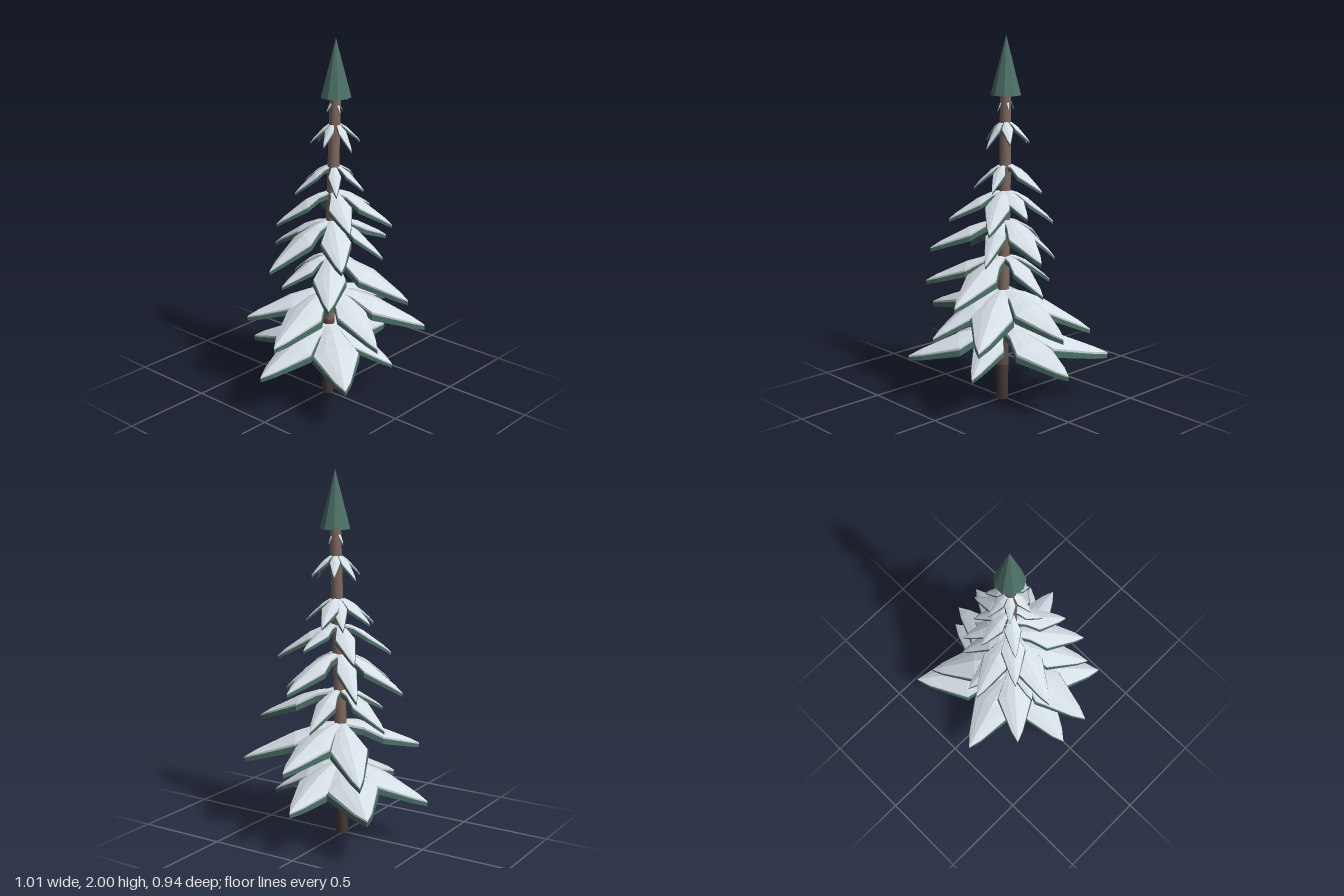
import * as THREE from 'three';

function paint(name, color) {
  const material = new THREE.MeshStandardMaterial({ color });
  material.name = name;
  return material;
}
const snow = paint('snow white', 0xd5dde5);
const green = paint('needle green', 0x4c7067);
const bark = paint('bark brown', 0x7e685f);
const shadedBark = paint('shaded bark brown', 0x5e4e48);
const darkBark = paint('dark bark brown', 0x473b38);

// Leaning trunk centre line
const trunkTop = 1.72;
const trunkPath = new THREE.CatmullRomCurve3([
  new THREE.Vector3(0, 0, 0.01), new THREE.Vector3(0.006, 0.43, 0.011),
  new THREE.Vector3(0.018, 0.86, 0.015), new THREE.Vector3(0.032, 1.29, 0.019),
  new THREE.Vector3(0.042, trunkTop, 0.025),
]);
const trunkAt = (y) => trunkPath.getPoint(y / trunkTop);

// Bough stations: distance along, half width, drop, sideways sag
const stations = [
  [0, 0.05, 0, 0.3], [0.25, 0.125, 0.1, 0.3], [0.47, 0.24, 0.28, 0.36],
  [0.87, 0.08, 0.79, 0.4], [1, 0, 1, 0],
];

// Pointed, ridged slab running along +z, between two depths below the ridge
function boughShell(length, drop, width, top, bottom) {
  const across = [-1, -0.5, 0, 0.5, 1];
  const rings = stations.map(([t, w, d, sag]) => {
    const half = w * length * width;
    const thin = 1 - 0.45 * t;
    const row = (depth) => across.map((k) => new THREE.Vector3(
      k * half, -d * drop - half * sag * Math.abs(k) ** 1.4 - depth * thin, t * length));
    return [...row(top), ...row(bottom).reverse()];
  });
  const pts = [];
  for (let i = 0; i < rings.length - 1; i++) {
    const p = rings[i], q = rings[i + 1];
    for (let j = 0; j < p.length; j++) {
      const n = (j + 1) % p.length;
      pts.push(p[j], q[j], p[n], p[n], q[j], q[n]);
    }
  }
  const geo = new THREE.BufferGeometry().setFromPoints(pts);
  geo.computeVertexNormals();
  return geo;
}

// One bough: green needles under a layer of snow, ending at the given tip
function makeBough(y, width, [tx, tz, ty]) {
  const root = trunkAt(y);
  const dx = tx - root.x, dz = tz - root.z;
  const length = Math.hypot(dx, dz), drop = y - ty;
  const thick = 0.009 + 0.09 * length;
  const bough = new THREE.Group();
  bough.name = 'bough';
  const needles = new THREE.Mesh(
    boughShell(length, drop, width * 1.06, thick * 0.28, thick), green);
  needles.name = 'needles';
  const cover = new THREE.Mesh(boughShell(length, drop, width, 0, thick * 0.38), snow);
  cover.name = 'snowCover';
  bough.add(needles, cover);
  bough.position.set(root.x, y, root.z);
  bough.rotation.y = Math.atan2(dx, dz);
  return bough;
}

// Tiers: height of the roots, relative width, then bough tips as x, z, y
const tiers = [
  [0.43, 0.98, [[0.505, 0.01, 0.26], [0.41, -0.4, 0.27], [-0.105, -0.47, 0.235],
    [-0.475, -0.05, 0.24], [-0.32, 0.415, 0.26], [0.14, 0.36, 0.23]]],
  [0.64, 0.87, [[0.505, 0.05, 0.47], [0.3, 0.455, 0.44], [-0.085, 0.435, 0.42],
    [-0.505, 0.085, 0.465], [-0.33, -0.29, 0.48], [0.35, -0.32, 0.41]]],
  [0.83, 0.83, [[0.315, 0.01, 0.65], [0.13, 0.465, 0.64], [-0.31, 0.29, 0.67],
    [-0.25, -0.1, 0.68], [0.06, -0.295, 0.64]]],
  [1.03, 0.82, [[0.39, 0.1, 0.86], [0.15, 0.27, 0.83], [-0.24, 0.315, 0.87],
    [-0.36, -0.08, 0.81], [-0.055, -0.335, 0.83], [0.19, -0.2, 0.81]]],
  [1.19, 0.85, [[0.265, 0.08, 1.07], [0.2, 0.29, 1.01], [-0.13, 0.275, 1.04],
    [-0.2, -0.18, 1.01], [0.19, -0.185, 1.01]]],
  [1.33, 0.82, [[0.255, -0.03, 1.2], [0.1, 0.175, 1.2], [-0.08, 0.14, 1.2],
    [-0.13, -0.11, 1.18], [0.04, -0.19, 1.2], [0.18, -0.11, 1.18]]],
  [1.56, 0.85, [[0.155, 0.1, 1.45], [0.03, 0.15, 1.42], [-0.08, 0.05, 1.45],
    [-0.05, -0.07, 1.45], [0.06, -0.115, 1.43], [0.155, -0.04, 1.45]]],
  [1.69, 0.8, [[0.085, 0.04, 1.61], [0.03, 0.07, 1.61], [-0.01, 0.01, 1.62],
    [0.05, -0.03, 1.61]]],
];

// Smooth length of trunk, bent along the centre line
function makeTrunkSection(profile, material) {
  const geo = new THREE.LatheGeometry(profile.map(([r, y]) => new THREE.Vector2(r, y)), 12);
  const pos = geo.attributes.position;
  for (let i = 0; i < pos.count; i++) {
    const c = trunkAt(pos.getY(i));
    pos.setX(i, pos.getX(i) + c.x);
    pos.setZ(i, pos.getZ(i) + c.z);
  }
  return new THREE.Mesh(geo, material);
}

export function createModel() {
  const tree = new THREE.Group();
  tree.name = 'snowyTree';

  // Trunk, darker towards the closed foot
  const foot = makeTrunkSection([[0, 0], [0.033, 0], [0.033, 0.2]], darkBark);
  foot.name = 'trunkFoot';
  const lower = makeTrunkSection([[0.033, 0.2], [0.033, 0.45]], shadedBark);
  lower.name = 'lowerTrunk';
  const upper = makeTrunkSection(
    [[0.033, 0.45], [0.033, 0.86], [0.032, 1.29], [0.03, trunkTop]], bark);
  upper.name = 'upperTrunk';
  tree.add(foot, lower, upper);

  // Whorls of boughs
  for (const [y, width, tips] of tiers) {
    const tier = new THREE.Group();
    tier.name = 'boughTier';
    for (const tip of tips) tier.add(makeBough(y, width, tip));
    tree.add(tier);
  }

  // Bare pointed crown
  const crown = new THREE.Mesh(new THREE.ConeGeometry(0.082, 0.31, 9).toNonIndexed(), green);
  crown.geometry.computeVertexNormals();
  crown.name = 'crown';
  crown.position.set(0.045, 1.845, 0.024);
  tree.add(crown);

  return tree;
}
